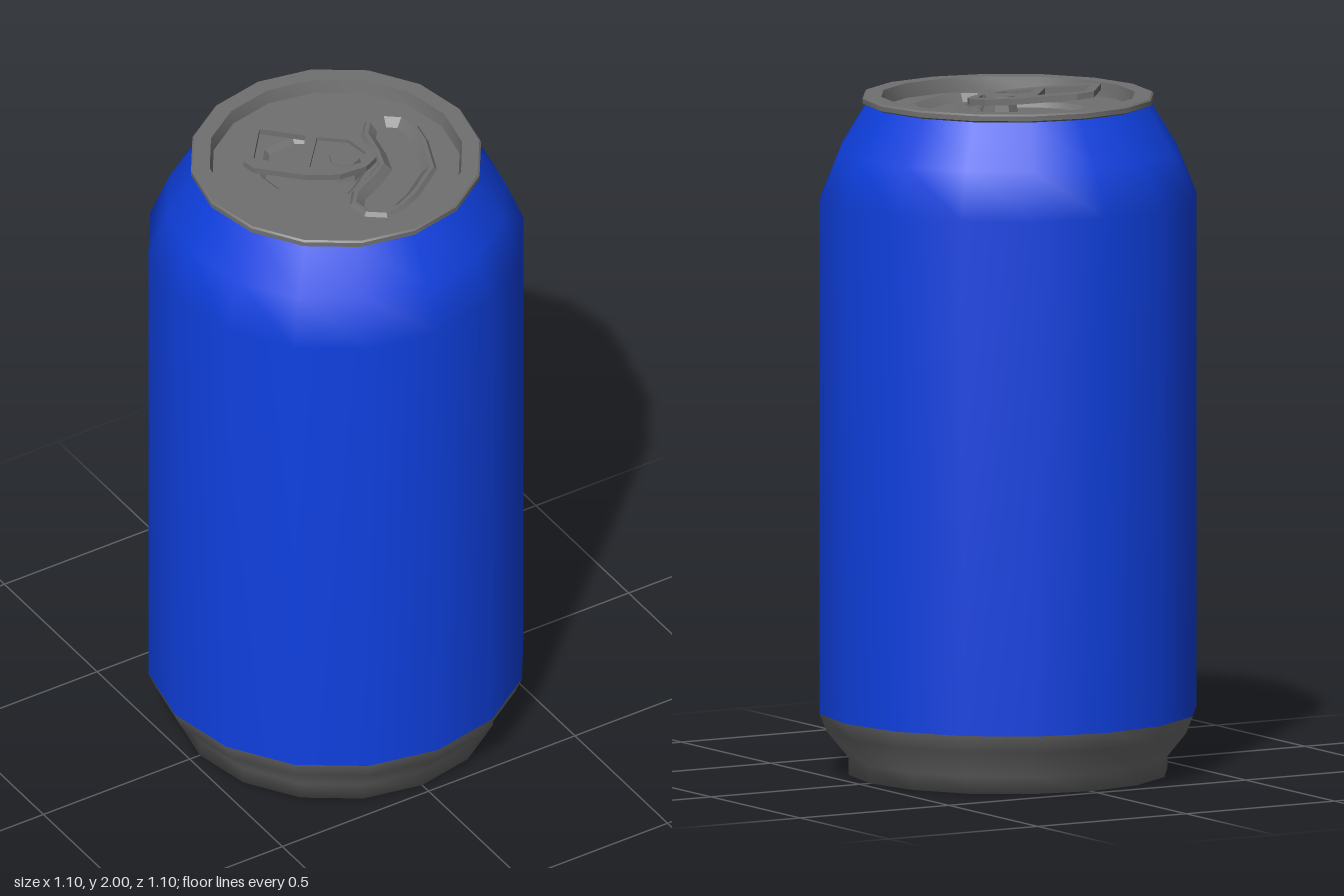
import * as THREE from 'three';
import { toCreasedNormals } from 'three/addons/utils/BufferGeometryUtils.js';

const SIDES = 16;
const LID = 1.935;
const metal = new THREE.MeshStandardMaterial({ color: 0x707070, side: THREE.DoubleSide });
const paint = new THREE.MeshStandardMaterial({ color: 0x0f40e0 });

const vectors = (pairs) => pairs.map(([x, z]) => new THREE.Vector2(x, z));

function addMesh(group, name, geometry, material = metal) {
  const mesh = new THREE.Mesh(geometry, material);
  mesh.name = name;
  group.add(mesh);
  return mesh;
}

// Turned part from radius / height pairs
const turned = (profile) => new THREE.LatheGeometry(vectors(profile), SIDES);

// Horizontal plate drawn in x, z with its upper face at the given height
function plate(outline, holes, top, depth) {
  const shape = new THREE.Shape(outline);
  holes.forEach((hole) => shape.holes.push(new THREE.Path(hole)));
  const geometry = new THREE.ExtrudeGeometry(shape, { depth, bevelEnabled: false });
  return geometry.rotateX(Math.PI / 2).translate(0, top, 0);
}

// Band of faces joining closed outlines placed at different heights
function loft(rings) {
  const position = [];
  const index = [];
  const n = rings[0].outline.length;
  rings.forEach(({ outline, y }) => outline.forEach((p) => position.push(p.x, y, p.y)));
  for (let r = 0; r < rings.length - 1; r++) {
    for (let i = 0; i < n; i++) {
      const a = r * n + i;
      const b = r * n + (i + 1) % n;
      index.push(a, b, b + n, a, b + n, a + n);
    }
  }
  const geometry = new THREE.BufferGeometry();
  geometry.setAttribute('position', new THREE.Float32BufferAttribute(position, 3));
  geometry.setIndex(index);
  geometry.computeVertexNormals();
  return toCreasedNormals(geometry, 0.4);
}

// Bent capsule outline of the opening, at half-width w
const bend = new THREE.SplineCurve(vectors([[0.22, -0.055], [0.17, 0.115], [0.015, 0.205]]));
function capsule(w) {
  const points = [];
  const around = (t, angle) => {
    const c = bend.getPoint(t);
    const d = bend.getTangent(t);
    const a = Math.atan2(d.y, d.x) + angle;
    points.push(new THREE.Vector2(c.x + w * Math.cos(a), c.y + w * Math.sin(a)));
  };
  for (let i = 0; i <= 4; i++) around(i / 4, -Math.PI / 2);
  for (let i = 1; i < 4; i++) around(1, -Math.PI / 2 + (i * Math.PI) / 4);
  for (let i = 4; i >= 0; i--) around(i / 4, Math.PI / 2);
  for (let i = 1; i < 4; i++) around(0, Math.PI / 2 + (i * Math.PI) / 4);
  return points;
}

// Copy of an outline shrunk about a centre
const shrink = (outline, k, cx, cz) =>
  outline.map((p) => new THREE.Vector2(cx + (p.x - cx) * k, cz + (p.y - cz) * k));

function createTab() {
  const tab = new THREE.Group();
  tab.name = 'pullTab';
  const outline = vectors([
    [-0.26, -0.09], [-0.25, -0.05], [-0.13, 0.045], [-0.04, 0.085], [0.05, 0.085], [0.1, 0.06],
    [0.115, 0.025], [0.1, -0.04], [0.05, -0.11], [-0.1, -0.22], [-0.155, -0.225],
  ]);
  const fingerHole = vectors([[-0.225, -0.09], [-0.125, 0], [-0.03, -0.115], [-0.135, -0.2]]);
  const noseHole = vectors([
    [-0.1, 0.015], [-0.03, 0.06], [0.05, 0.062], [0.085, 0.025], [0.07, -0.045], [-0.005, -0.095],
  ]);
  // The tail lifts away from the lid
  const tilt = (geometry) => {
    const p = geometry.attributes.position;
    for (let i = 0; i < p.count; i++) {
      const along = p.getX(i) * 0.79 + p.getZ(i) * 0.62;
      p.setY(i, p.getY(i) - 0.09 * along);
    }
    geometry.computeVertexNormals();
    return geometry;
  };
  addMesh(tab, 'tabFrame', tilt(plate(outline, [fingerHole, noseHole], 1.977, 0.018)));
  addMesh(tab, 'tabWeb', tilt(plate(noseHole, [], 1.966, 0.006)));

  const rivet = new THREE.CylinderGeometry(0.045, 0.058, 0.055, 8);
  addMesh(tab, 'rivet', toCreasedNormals(rivet, 0.5)).position.set(0.02, 1.946, 0.015);
  return tab;
}

export function createModel() {
  const can = new THREE.Group();
  can.name = 'drinkCan';

  // Base and painted wall
  addMesh(can, 'base', turned([[0, 0], [0.465, 0], [0.465, 0.05], [0.53, 0.13], [0.55, 0.18]]));
  addMesh(can, 'body', turned([[0.55, 0.18], [0.55, 1.68], [0.493, 1.82], [0.413, 1.953]]), paint);

  // Rolled rim and its inner wall
  const rim = turned([
    [0.41, 1.95], [0.425, 1.957], [0.425, 1.971], [0.42, 1.976], [0.37, 1.976], [0.362, LID],
  ]);
  addMesh(can, 'rim', toCreasedNormals(rim, 0.6));

  // Lid with two pressed areas
  const edge = [];
  for (let i = 0; i < SIDES; i++) {
    const a = (i / SIDES) * Math.PI * 2;
    edge.push(new THREE.Vector2(0.364 * Math.cos(a), 0.364 * Math.sin(a)));
  }
  const recess = vectors([
    [-0.03, -0.19], [0.11, -0.1], [0.1, -0.02], [0.07, 0.06], [0, 0.11], [-0.04, 0.13],
    [-0.15, 0.065], [-0.2, 0], [-0.21, -0.08], [-0.13, -0.18],
  ]);
  addMesh(can, 'lid', plate(edge, [recess, capsule(0.078)], LID, 0.004));

  const recessFloor = shrink(recess, 0.9, -0.05, -0.03);
  addMesh(can, 'tabRecessWall', loft([{ outline: recess, y: LID }, { outline: recessFloor, y: 1.92 }]));
  addMesh(can, 'tabRecessFloor', plate(recessFloor, [], 1.92, 0.004));

  // Raised bead and sunken panel of the opening
  addMesh(can, 'openingBead', loft([
    { outline: capsule(0.087), y: LID },
    { outline: capsule(0.078), y: LID + 0.012 },
    { outline: capsule(0.066), y: LID + 0.012 },
    { outline: capsule(0.043), y: LID - 0.012 },
  ]));
  addMesh(can, 'openingPanel', plate(capsule(0.043), [], LID - 0.012, 0.004));

  can.add(createTab());
  return can;
}
